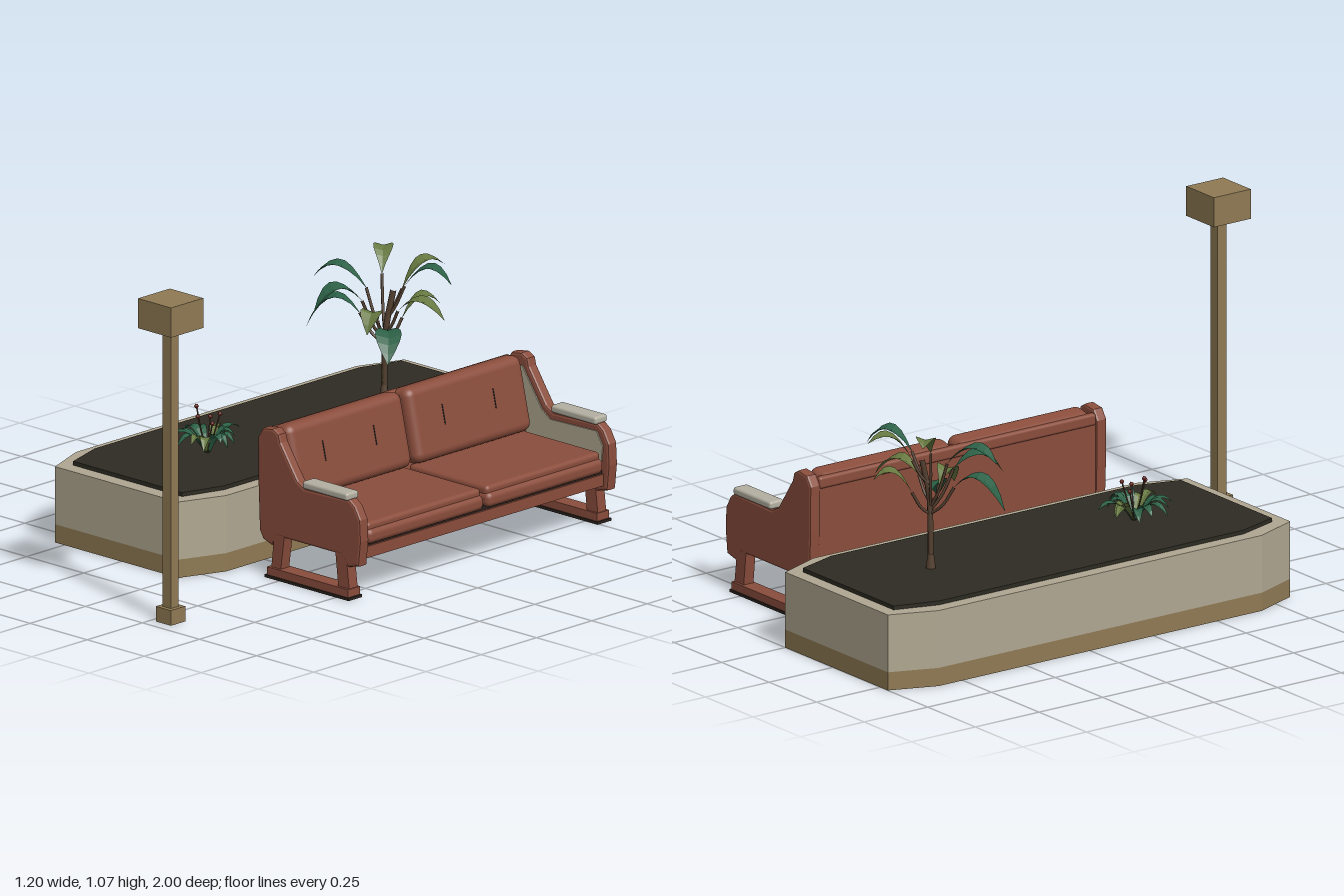
import * as THREE from 'three';
import { RoundedBoxGeometry } from 'three/addons/geometries/RoundedBoxGeometry.js';

function material(name, color, extra = {}) {
  const m = new THREE.MeshStandardMaterial({ color, ...extra });
  m.name = name;
  return m;
}

const leafLook = { flatShading: true, side: THREE.DoubleSide };
const mats = {
  leather: material('red brown leather', 0x8a4d3c),
  stone: material('pale stone', 0xb0a791),
  bronze: material('bronze', 0x8f7a54),
  soil: material('dark soil', 0x2d2b22),
  leaf: material('green leaf', 0x2c6046, leafLook),
  olive: material('olive leaf', 0x667840, leafLook),
  bark: material('bark', 0x54402f),
  flower: material('red flower', 0x96392f),
  dark: material('dark trim', 0x2a211d),
  pad: material('arm pad', 0xb4b0a2),
};

function add(parent, name, geometry, mat, x = 0, y = 0, z = 0) {
  const mesh = new THREE.Mesh(geometry, mat);
  mesh.name = name;
  mesh.position.set(x, y, z);
  parent.add(mesh);
  return mesh;
}

// Box given by its limits on each axis
function box(parent, name, mat, x0, x1, y0, y1, z0, z1, radius = 0) {
  const s = [x1 - x0, y1 - y0, z1 - z0];
  const g = radius ? new RoundedBoxGeometry(...s, 3, radius) : new THREE.BoxGeometry(...s);
  return add(parent, name, g, mat, (x0 + x1) / 2, (y0 + y1) / 2, (z0 + z1) / 2);
}

const polygon = (pts) => new THREE.Shape(pts.map(([x, y]) => new THREE.Vector2(x, y)));

// Side profile extruded across z, with an optional bevel kept inside the limits
function profile(parent, name, mat, pts, z0, z1, bevel = 0) {
  const g = new THREE.ExtrudeGeometry(polygon(pts), {
    depth: z1 - z0 - 2 * bevel, bevelEnabled: bevel > 0,
    bevelSize: bevel, bevelThickness: bevel, bevelOffset: -bevel, bevelSegments: 2,
  });
  return add(parent, name, g, mat, 0, 0, z0 + bevel);
}

// Rectangle with cut corners, raised from y0 to y1
function slab(parent, name, mat, x0, x1, z0, z1, cx, cz, y0, y1) {
  const pts = [[x0 + cx, z0], [x1 - cx, z0], [x1, z0 + cz], [x1, z1 - cz],
    [x1 - cx, z1], [x0 + cx, z1], [x0, z1 - cz], [x0, z0 + cz]].map(([x, z]) => [x, -z]);
  const g = new THREE.ExtrudeGeometry(polygon(pts), { depth: y1 - y0, bevelEnabled: false });
  g.rotateX(-Math.PI / 2);
  return add(parent, name, g, mat, 0, y0, 0);
}

// Folded leaf along a curve, widest a little past the middle
function leaf(parent, mat, base, peak, tip, width) {
  const [a, b, c] = [base, peak, tip].map((p) => new THREE.Vector3(...p));
  const curve = new THREE.QuadraticBezierCurve3(a, b, c);
  const side = new THREE.Vector3(-(c.z - a.z), 0, c.x - a.x).normalize();
  const n = 7, pos = [], index = [];
  for (let i = 0; i <= n; i++) {
    const t = i / n, p = curve.getPoint(t);
    const w = width * (0.04 + 0.96 * Math.sin(Math.PI * Math.pow(t, 1.15))) * (i === n ? 0 : 1);
    for (const s of [-1, 0, 1]) pos.push(p.x + side.x * w * s, p.y + Math.abs(s) * w * 0.3, p.z + side.z * w * s);
    if (i < n) {
      const k = i * 3;
      for (const j of [k, k + 1]) index.push(j, j + 1, j + 3, j + 1, j + 4, j + 3);
    }
  }
  const g = new THREE.BufferGeometry();
  g.setAttribute('position', new THREE.Float32BufferAttribute(pos, 3));
  g.setIndex(index);
  g.computeVertexNormals();
  return add(parent, 'leaf', g, mat);
}

function stem(parent, name, pts, radius) {
  const curve = new THREE.CatmullRomCurve3(pts.map((p) => new THREE.Vector3(...p)));
  return add(parent, name, new THREE.TubeGeometry(curve, 8, radius, 6), mats.bark);
}

function group(parent, name) {
  const g = new THREE.Group();
  g.name = name;
  parent.add(g);
  return g;
}

function buildPlanter(root) {
  const g = group(root, 'planter');
  slab(g, 'planterBase', mats.bronze, -0.6, 0.06, -1, 0.58, 0.06, 0.155, 0, 0.06);
  slab(g, 'planterWall', mats.stone, -0.6, 0.06, -1, 0.58, 0.06, 0.155, 0.06, 0.25);
  slab(g, 'soil', mats.soil, -0.555, 0.013, -0.955, 0.53, 0.045, 0.145, 0.25, 0.263);
}

function buildLamp(root) {
  const g = group(root, 'lampPost');
  box(g, 'lampBase', mats.bronze, 0.27, 0.336, 0, 0.05, 0.895, 0.96);
  box(g, 'lampPole', mats.bronze, 0.285, 0.321, 0.05, 0.967, 0.91, 0.945);
  box(g, 'lampHead', mats.bronze, 0.23, 0.376, 0.967, 1.065, 0.855, 1);
}

function buildTallPlant(root) {
  const g = group(root, 'tallPlant');
  const z = -0.63;
  stem(g, 'trunk', [[-0.27, 0.25, z], [-0.268, 0.4, z], [-0.262, 0.5, z], [-0.25, 0.62, z - 0.02]], 0.01);
  add(g, 'trunkFoot', new THREE.CylinderGeometry(0.01, 0.018, 0.06, 7), mats.bark, -0.27, 0.28, z);
  // Leaf sets: branch start height, leaf base, peak, tip, half width, colour
  const leaves = [
    [0.46, [-0.33, 0.62, -0.61], [-0.42, 0.74, -0.57], [-0.485, 0.64, -0.53], 0.034, 'leaf'],
    [0.46, [-0.31, 0.66, -0.66], [-0.35, 0.76, -0.71], [-0.39, 0.71, -0.75], 0.032, 'olive'],
    [0.44, [-0.34, 0.54, -0.59], [-0.43, 0.65, -0.55], [-0.488, 0.48, -0.5], 0.036, 'leaf'],
    [0.45, [-0.31, 0.59, -0.57], [-0.36, 0.69, -0.5], [-0.385, 0.57, -0.43], 0.042, 'leaf'],
    [0.44, [-0.25, 0.52, -0.69], [-0.22, 0.63, -0.74], [-0.18, 0.56, -0.79], 0.034, 'olive'],
    [0.54, [-0.24, 0.62, -0.68], [-0.22, 0.75, -0.74], [-0.18, 0.685, -0.81], 0.034, 'olive'],
    [0.52, [-0.21, 0.64, -0.66], [-0.14, 0.76, -0.7], [-0.08, 0.65, -0.74], 0.034, 'leaf'],
    [0.48, [-0.22, 0.56, -0.64], [-0.14, 0.65, -0.66], [-0.082, 0.54, -0.71], 0.036, 'olive'],
    [0.42, [-0.23, 0.5, -0.6], [-0.17, 0.55, -0.55], [-0.12, 0.435, -0.49], 0.042, 'leaf'],
    [0.45, [-0.26, 0.53, -0.59], [-0.24, 0.62, -0.54], [-0.22, 0.51, -0.5], 0.036, 'olive'],
  ];
  for (const [y, base, peak, tip, width, color] of leaves) {
    const mid = [(base[0] - 0.27) / 2, (y + base[1]) / 2 - 0.015, (base[2] + z) / 2];
    stem(g, 'branch', [[-0.266, y, z], mid, base], 0.005);
    leaf(g, mats[color], base, peak, tip, width);
  }
}

function buildSmallPlant(root) {
  const g = group(root, 'floweringPlant');
  const cx = -0.27, cz = 0.17;
  for (let i = 0; i < 16; i++) {
    const a = i * 2.4, r = 0.09 + 0.045 * ((i * 7) % 5) / 4;
    const at = (d, y) => [cx + Math.cos(a) * d, y, cz + Math.sin(a) * d];
    leaf(g, i % 4 === 3 ? mats.olive : mats.leaf, at(0.01, 0.265), at(r * 0.55, 0.41 - r * 0.3), at(r, 0.295 + (i % 3) * 0.012), 0.017);
  }
  for (let i = 0; i < 5; i++) {
    const a = i * 1.257 + 0.4, x = cx + Math.cos(a) * 0.04, z = cz + Math.sin(a) * 0.04, y = 0.37 + (i % 3) * 0.02;
    stem(g, 'flowerStem', [[cx, 0.26, cz], [(cx + x) / 2, 0.32, (cz + z) / 2], [x, y, z]], 0.0025);
    add(g, 'flower', new THREE.IcosahedronGeometry(0.008, 0), mats.flower, x, y, z);
  }
}

function buildSofa(root) {
  const g = group(root, 'sofa');
  const mid = -0.21;
  const armProfile = [[0.145, 0.45], [0.146, 0.3], [0.152, 0.145], [0.168, 0.118], [0.205, 0.105], [0.232, 0.14],
    [0.51, 0.14], [0.54, 0.105], [0.588, 0.117], [0.597, 0.2], [0.593, 0.27], [0.57, 0.31], [0.545, 0.328],
    [0.35, 0.322], [0.318, 0.34], [0.285, 0.388], [0.243, 0.45], [0.236, 0.476], [0.212, 0.49], [0.166, 0.483]];
  const lining = [[0.18, 0.16], [0.56, 0.16], [0.572, 0.26], [0.545, 0.305], [0.34, 0.3], [0.305, 0.325], [0.22, 0.45], [0.18, 0.45]];

  for (const s of [-1, 1]) {
    // Limits across z, measured outward from the sofa's middle
    const span = (d0, d1) => [mid + s * d0, mid + s * d1].sort((a, b) => a - b);
    profile(g, 'armPanel', mats.leather, armProfile, ...span(0.542, 0.582), 0.008);
    profile(g, 'armLining', mats.stone, lining, ...span(0.538, 0.543));
    box(g, 'armPad', mats.pad, 0.347, 0.545, 0.324, 0.35, ...span(0.534, 0.59), 0.009);
    // Sled foot with two slanted legs
    profile(g, 'backLeg', mats.leather, [[0.205, 0.03], [0.246, 0.03], [0.262, 0.145], [0.218, 0.145]], ...span(0.543, 0.581));
    profile(g, 'frontLeg', mats.leather, [[0.499, 0.03], [0.547, 0.03], [0.533, 0.145], [0.486, 0.145]], ...span(0.543, 0.581));
    box(g, 'footRail', mats.leather, 0.195, 0.55, 0.008, 0.035, ...span(0.536, 0.59));
    box(g, 'footSole', mats.dark, 0.188, 0.556, 0, 0.009, ...span(0.532, 0.594));

    // One seat cushion and one tilted back cushion for each side
    const z0 = mid + s * 0.27;
    box(g, 'seatCushion', mats.leather, 0.23, 0.587, 0.175, 0.226, z0 - 0.263, z0 + 0.263, 0.02);
    box(g, 'seatCushionTop', mats.leather, 0.23, 0.575, 0.21, 0.246, z0 - 0.258, z0 + 0.258, 0.014);
    const back = group(g, 'backCushion');
    back.position.set(0.213, 0.365, z0);
    back.rotation.z = 0.23;
    add(back, 'cushionBody', new RoundedBoxGeometry(0.085, 0.245, 0.524, 4, 0.03), mats.leather);
    for (const t of [-0.11, 0.12]) add(back, 'tuft', new THREE.BoxGeometry(0.004, 0.065, 0.004), mats.dark, 0.042, 0.01, t);
  }

  // Frame between the arms
  const inner = [mid - 0.544, mid + 0.544];
  profile(g, 'backFrame', mats.leather, [[0.155, 0.13], [0.24, 0.13], [0.24, 0.22], [0.195, 0.465], [0.165, 0.465], [0.152, 0.44]], ...inner);
  box(g, 'backRail', mats.leather, 0.147, 0.172, 0.435, 0.475, ...inner, 0.01);
  box(g, 'seatDeck', mats.leather, 0.23, 0.56, 0.15, 0.178, ...inner);
  box(g, 'frontRail', mats.leather, 0.545, 0.572, 0.13, 0.168, ...inner);
  box(g, 'shadowGap', mats.dark, 0.24, 0.565, 0.166, 0.182, ...inner);
}

export function createModel() {
  const root = new THREE.Group();
  root.name = 'planterAndSofa';
  buildPlanter(root);
  buildLamp(root);
  buildTallPlant(root);
  buildSmallPlant(root);
  buildSofa(root);
  return root;
}
